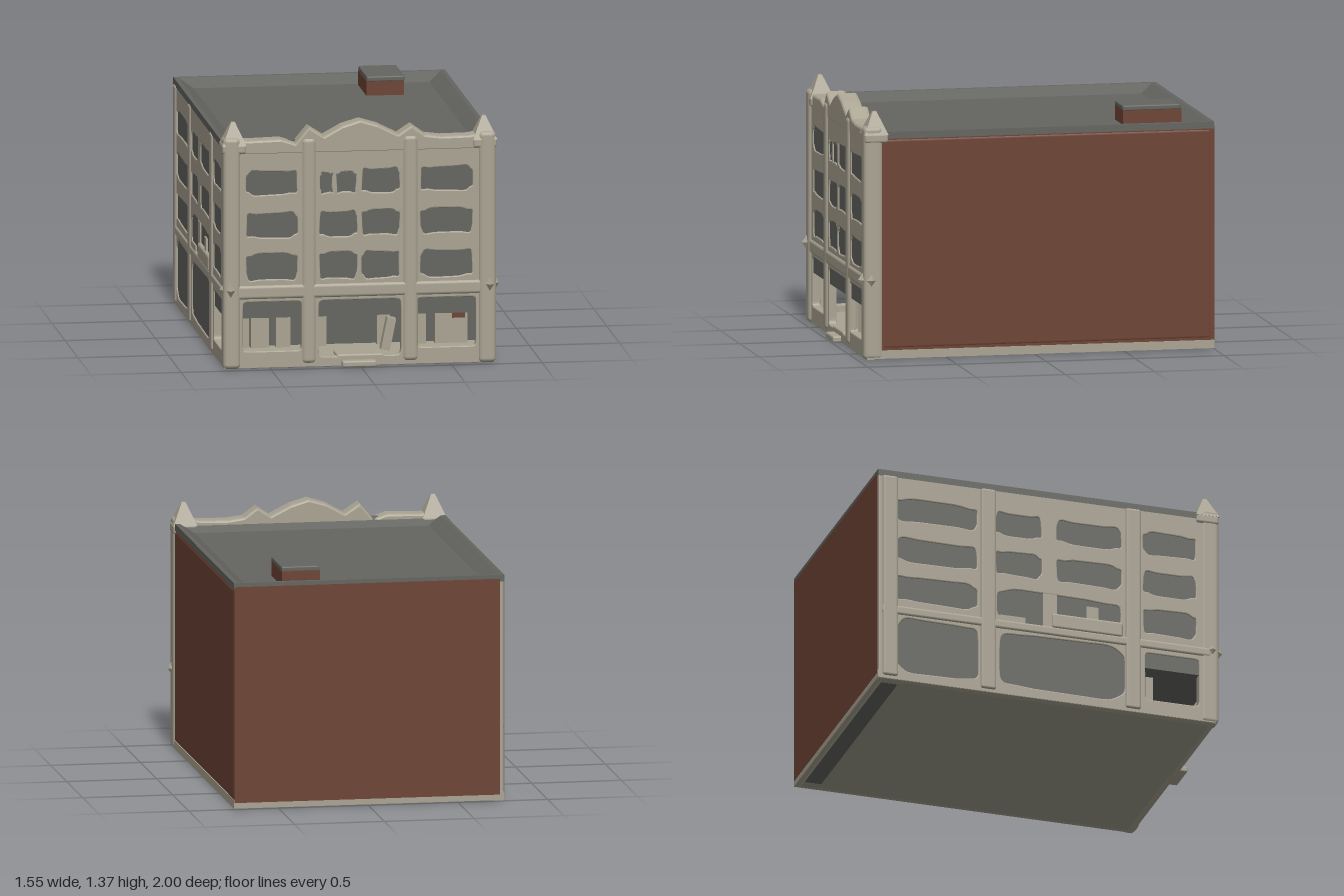
import * as THREE from 'three';
import { RoundedBoxGeometry } from 'three/addons/geometries/RoundedBoxGeometry.js';

const mat = (name, color) => {
  const m = new THREE.MeshStandardMaterial({ color });
  m.name = name;
  return m;
};

export function createModel() {
  const stone = mat('stone', 0xa9a392);
  const brick = mat('brick', 0x6e4435);
  const dark = mat('slate', 0x646460);
  const concrete = mat('concrete', 0x9b998b);
  const group = new THREE.Group();

  const add = (name, geometry, material) => {
    const mesh = new THREE.Mesh(geometry, material);
    mesh.name = name;
    group.add(mesh);
    return mesh;
  };
  // Box given by its limits on each axis, optionally with rounded edges
  const block = (name, material, x0, x1, y0, y1, z0, z1, r = 0) => {
    const s = [x1 - x0, y1 - y0, z1 - z0];
    const g = r ? new RoundedBoxGeometry(...s, 3, r) : new THREE.BoxGeometry(...s);
    g.translate((x0 + x1) / 2, (y0 + y1) / 2, (z0 + z1) / 2);
    return add(name, g, material);
  };

  // Soft, slightly uneven window outline; without wobble nearly square
  const opening = ([u0, u1, v0, v1, wobble = 0.006]) => {
    const pts = [];
    const power = wobble ? 0.32 : 0.12;
    const soft = (c) => Math.sign(c) * Math.pow(Math.abs(c), power);
    for (let i = 0; i < 40; i++) {
      const a = ((i + 0.5) / 40) * Math.PI * 2;
      const w = wobble * Math.sin(a * 5 + u0 * 17 + v0 * 9);
      pts.push(new THREE.Vector2(
        (u0 + u1) / 2 + soft(Math.cos(a)) * ((u1 - u0) / 2 + w * 0.5),
        (v0 + v1) / 2 + soft(Math.sin(a)) * ((v1 - v0) / 2 + w)));
    }
    return new THREE.Path(pts);
  };
  // Wall slab with openings, extruded outward
  const wall = (u0, u1, height, holes, depth) => {
    const s = new THREE.Shape([[u0, 0], [u1, 0], [u1, height], [u0, height]].map((p) => new THREE.Vector2(...p)));
    s.holes = holes.map(opening);
    return new THREE.ExtrudeGeometry(s, {
      depth: depth - 0.006, bevelThickness: 0.006, bevelSize: 0.006, bevelOffset: -0.006, bevelSegments: 2,
    });
  };

  // Inner body; its faces show as glass just behind the openings
  block('upperBody', dark, -0.748, 0.735, 0.28, 1.21, -0.985, 0.943);
  block('groundFloorCore', dark, -0.748, 0.735, 0.04, 0.3, -0.985, 0.5);
  block('groundFloorBackWall', dark, -0.7, 0.735, 0.04, 0.3, 0.49, 0.56);
  block('base', stone, -0.755, 0.748, 0.004, 0.05, -1, 0.95);
  block('underside', concrete, -0.725, 0.715, 0, 0.008, -0.97, 0.92);
  block('undersideSlot', dark, -0.7, 0.66, 0, 0.009, -0.965, -0.87).position.y = -0.001;

  // Plain brick walls
  block('sideBrickWall', brick, 0.7, 0.746, 0.055, 1.225, -0.99, 0.862, 0.02);
  block('sideWallCore', brick, 0.7, 0.743, 0.05, 1.225, -0.99, 0.87);
  block('backBrickWall', brick, -0.735, 0.744, 0.035, 1.238, -1.001, -0.95);

  // Front facade
  const rows = [[0.49, 0.635], [0.73, 0.865], [0.97, 1.1]];
  const frontHoles = [
    [-0.65, -0.325, 0.095, 0.37, 0], [-0.23, 0.225, 0.055, 0.37, 0], [0.315, 0.64, 0.095, 0.37, 0],
  ];
  rows.forEach(([a, b], i) => {
    frontHoles.push([-0.63, -0.35, a, b], [0.01, 0.215, a, b], [0.335, 0.62, a, b]);
    if (i === 2) frontHoles.push([-0.22, -0.155, a, b - 0.02], [-0.13, -0.025, a, b - 0.02]);
    else frontHoles.push([-0.225, -0.02, a, b]);
  });
  const front = wall(-0.75, 0.745, 1.23, frontHoles, 0.04);
  front.translate(0, 0, 0.91);
  add('frontFacade', front, stone);

  // Windowed side facade on the model's right
  const sideHoles = [
    [-0.89, -0.42, 0.06, 0.38], [-0.3, 0.42, 0.06, 0.38], [0.54, 0.85, 0.09, 0.37, 0],
    [-0.31, 0.4, 0.45, 0.64],
  ];
  rows.forEach(([a, b], i) => {
    sideHoles.push([-0.9, -0.43, a, b], [0.53, 0.83, a, b]);
    if (i > 0) sideHoles.push([-0.32, -0.06, a, b], [0.03, 0.4, a, b]);
  });
  const side = wall(-0.995, 0.94, 1.235, sideHoles, 0.045);
  side.rotateY(-Math.PI / 2);
  side.translate(-0.71, 0, 0);
  add('sideFacade', side, stone);

  // Balcony remains in the side facade
  block('balconyLedge', stone, -0.767, -0.72, 0.44, 0.53, 0.0, 0.41, 0.015);
  block('balconyPost', stone, -0.757, -0.72, 0.44, 0.645, -0.05, 0.03);
  block('balconyPanel', stone, -0.757, -0.72, 0.44, 0.6, 0.2, 0.27);
  block('balconySill', stone, -0.757, -0.72, 0.44, 0.48, -0.3, -0.15);

  // Pilasters
  [[-0.76, -0.665], [0.655, 0.752]].forEach(([a, b]) =>
    block('cornerPilaster', stone, a, b, 0, 1.29, 0.858, 0.966, 0.025));
  [[-0.325, -0.245], [0.235, 0.32]].forEach(([a, b]) =>
    block('innerPilaster', stone, a, b, 0.02, 1.28, 0.9, 0.962, 0.025));
  [-0.93, -0.365, 0.47].forEach((z) =>
    block('sidePilaster', stone, -0.765, -0.73, 0.02, 1.23, z - 0.045, z + 0.045, 0.015));

  // Cornice above the ground floor, with corner knobs
  block('frontCornice', stone, -0.75, 0.745, 0.385, 0.465, 0.91, 0.96, 0.02);
  block('sideCornice', stone, -0.763, -0.72, 0.395, 0.45, -0.98, 0.92, 0.015);
  [-0.72, 0.715].forEach((x) => {
    const g = new THREE.OctahedronGeometry(0.06);
    g.scale(0.95, 1.6, 1.15);
    g.translate(x, 0.44, 0.925);
    add('cornerKnob', g, stone);
  });

  // Parapet with a rising centre and small side peaks
  const crest = [
    [0.74, 1.28], [0.66, 1.28], [0.6, 1.27], [0.45, 1.268], [0.36, 1.28], [0.285, 1.335], [0.21, 1.285], [0.1, 1.34],
    [0, 1.37], [-0.1, 1.34], [-0.2, 1.285], [-0.285, 1.34], [-0.36, 1.25], [-0.44, 1.275], [-0.62, 1.27], [-0.74, 1.28],
  ];
  const crestShape = new THREE.Shape(
    [[-0.74, 1.19], [0.74, 1.19], ...crest].map((p) => new THREE.Vector2(...p)));
  const parapet = new THREE.ExtrudeGeometry(crestShape, {
    depth: 0.075, bevelThickness: 0.018, bevelSize: 0.012, bevelOffset: -0.012, bevelSegments: 2,
  });
  parapet.translate(0, 0, 0.859);
  add('parapet', parapet, stone);
  [-0.699, 0.69].forEach((x) => {
    const g = new THREE.CylinderGeometry(0.015, 0.095, 0.125, 4, 1).toNonIndexed();
    g.rotateY(Math.PI / 4);
    g.computeVertexNormals();
    g.translate(x, 1.308, 0.897);
    add('cornerPinnacle', g, stone);
    block('pinnacleFoot', stone, x - 0.066, x + 0.066, 1.2, 1.255, 0.83, 0.962, 0.015);
  });

  // Roof: raised rim falling softly to a flat deck
  const rings = [[0, 1.222], [0, 1.26], [0.025, 1.26], [0.1, 1.213], [0.7, 1.213]].map(([d, y]) => [
    [-0.758 + d, y, 0.89 - d], [0.747 - d, y, 0.89 - d], [0.747 - d, y, -1 + d], [-0.758 + d, y, -1 + d],
  ]);
  const roofPts = [];
  for (let i = 0; i < rings.length - 1; i++) {
    for (let k = 0; k < 4; k++) {
      const n = (k + 1) % 4;
      const [a, b, c, d] = [rings[i][k], rings[i][n], rings[i + 1][n], rings[i + 1][k]];
      roofPts.push(...a, ...b, ...c, ...a, ...c, ...d);
    }
  }
  const roof = new THREE.BufferGeometry();
  roof.setAttribute('position', new THREE.Float32BufferAttribute(roofPts, 3));
  roof.computeVertexNormals();
  add('roof', roof, dark);
  block('roofDeck', dark, -0.1, 0.1, 1.2, 1.213, -0.4, 0.3);

  // Roof hut
  block('roofHutWalls', brick, 0.248, 0.458, 1.2, 1.295, -0.88, -0.552);
  block('roofHutCap', dark, 0.25, 0.46, 1.29, 1.32, -0.872, -0.55, 0.008);

  // Porch interior behind the ground floor openings
  [[-0.64, -0.57], [-0.56, -0.46], [-0.42, -0.34], [-0.23, -0.14], [0.14, 0.21], [0.33, 0.41], [0.46, 0.64]]
    .forEach(([a, b]) => block('porchPanel', stone, a, b, 0.05, 0.28, 0.55, 0.62));
  block('porchBrickPatch', brick, 0.555, 0.625, 0.19, 0.28, 0.62, 0.626);
  const jamb = block('doorJamb', stone, -0.025, 0.025, -0.09, 0.09, -0.03, 0.03);
  jamb.position.set(0.165, 0.16, 0.86);
  jamb.rotation.z = -0.2;

  // Entrance step
  block('entranceSill', stone, -0.13, 0.13, 0.03, 0.065, 0.8, 0.95, 0.01);
  block('entranceStep', stone, -0.105, 0.085, 0, 0.035, 0.9, 0.995, 0.01);

  return group;
}
